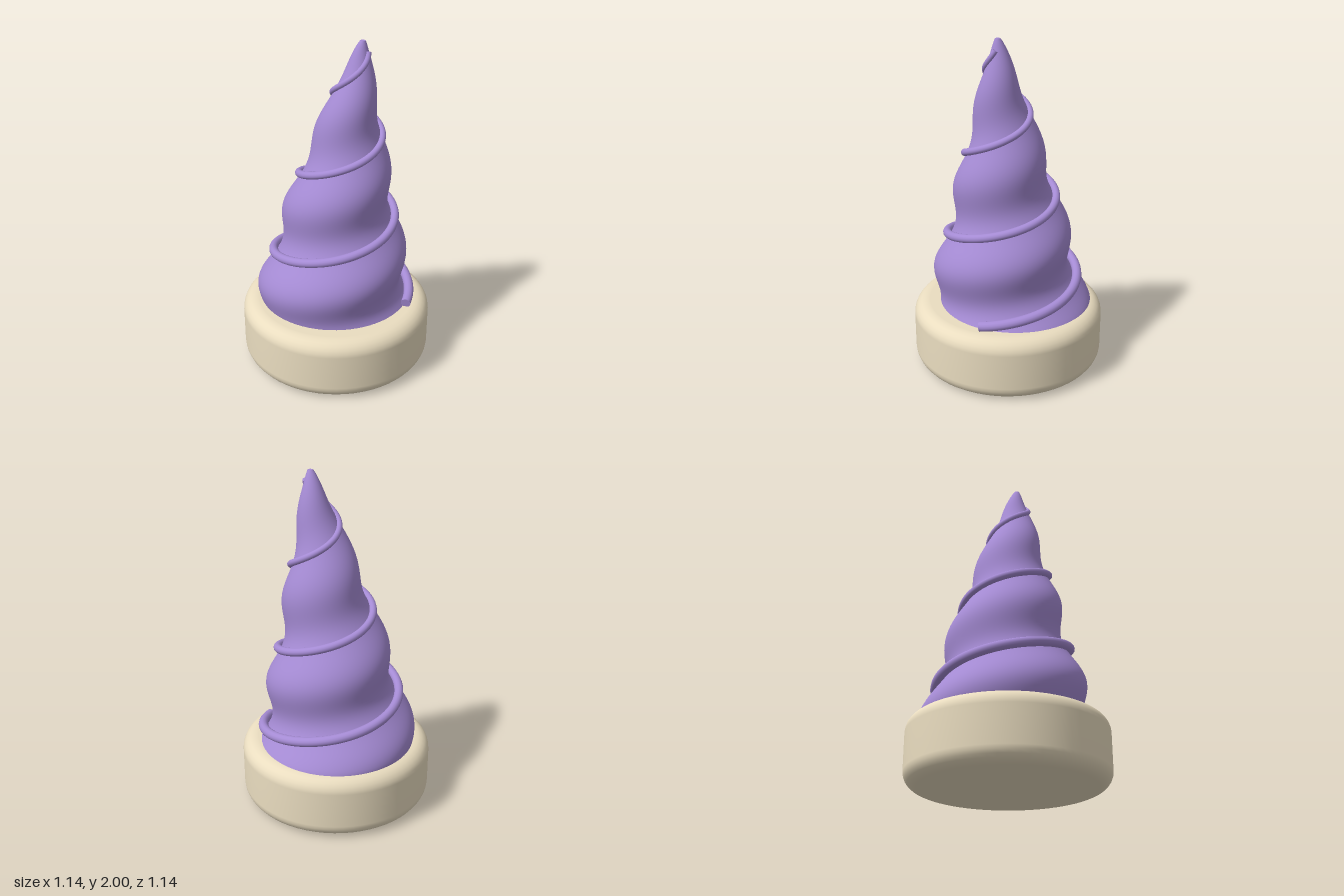
import * as THREE from 'three';

const BOTTOM = 0.36, TOP = 2;
const progress = (y) => THREE.MathUtils.clamp((y - 0.38) / (TOP - 0.38), 0, 1);
const coneRadius = (y) => 0.015 + 0.445 * Math.pow(1 - progress(y), 0.85);
const lean = (y) => 0.155 * Math.pow(progress(y), 1.75);

// Skins closed rings of points, with flat caps at both ends
function loft(rings) {
  const collapse = (ring) => {
    const c = ring.reduce((s, p) => s.add(p), new THREE.Vector3()).divideScalar(ring.length);
    return ring.map(() => c);
  };
  const first = rings[0], last = rings[rings.length - 1];
  const all = [collapse(first), first, ...rings, last, collapse(last)];
  const n = first.length, index = [];
  for (let i = 0; i < all.length - 1; i++) {
    if (i === 1 || i === all.length - 3) continue; // crease at each cap
    for (let j = 0; j < n; j++) {
      const k = (j + 1) % n;
      const a = i * n + j, b = i * n + k, c = a + n, d = b + n;
      index.push(a, c, b, b, c, d);
    }
  }
  const geometry = new THREE.BufferGeometry().setFromPoints(all.flat());
  geometry.setIndex(index);
  geometry.computeVertexNormals();
  return geometry;
}

// Leaning cone whose single bulge winds upward
function hornGeometry() {
  const rings = [], steps = 110, sides = 64;
  for (let i = 0; i <= steps; i++) {
    const y = BOTTOM + (TOP - BOTTOM) * i / steps;
    const bulge = Math.PI / 2 - 2 * Math.PI * (y - 0.6) / 0.525;
    const ring = [];
    for (let j = 0; j < sides; j++) {
      const a = 2 * Math.PI * j / sides;
      const r = coneRadius(y) * (1 + 0.1 * Math.cos(a - bulge));
      ring.push(new THREE.Vector3(lean(y) + r * Math.cos(a), y, r * Math.sin(a)));
    }
    rings.push(ring);
  }
  return loft(rings);
}

// Tapering cord that climbs three turns around the cone
function cordGeometry() {
  const points = [];
  for (let i = 0; i <= 120; i++) {
    const t = i / 120, y = 0.41 + 1.53 * t, a = -6 * Math.PI * t, r = coneRadius(y);
    points.push(new THREE.Vector3(lean(y) + r * Math.cos(a), y, r * Math.sin(a)));
  }
  const curve = new THREE.CatmullRomCurve3(points);
  const steps = 260, sides = 14;
  const frames = curve.computeFrenetFrames(steps);
  const rings = [];
  for (let i = 0; i <= steps; i++) {
    const p = curve.getPointAt(i / steps);
    const thickness = 0.03 - 0.015 * progress(p.y);
    const ring = [];
    for (let j = 0; j < sides; j++) {
      const a = 2 * Math.PI * j / sides;
      ring.push(p.clone()
        .addScaledVector(frames.normals[i], thickness * Math.cos(a))
        .addScaledVector(frames.binormals[i], -thickness * Math.sin(a)));
    }
    rings.push(ring);
  }
  return loft(rings);
}

// Round base with softened rims
function baseGeometry() {
  const R = 0.572, H = 0.385, bevel = 0.085, profile = [new THREE.Vector2(0, 0)];
  const corner = (cy, from) => {
    for (let i = 0; i <= 6; i++) {
      const a = from + Math.PI / 2 * i / 6;
      profile.push(new THREE.Vector2(R - bevel + bevel * Math.cos(a), cy + bevel * Math.sin(a)));
    }
  };
  profile.push(new THREE.Vector2(R - bevel - 0.01, 0));
  corner(bevel, -Math.PI / 2);
  corner(H - bevel, 0);
  profile.push(new THREE.Vector2(R - bevel - 0.01, H), new THREE.Vector2(0, H));
  return new THREE.LatheGeometry(profile, 64);
}

export function createModel() {
  const group = new THREE.Group();
  group.name = 'spiralHorn';
  const purple = new THREE.MeshStandardMaterial({ color: 0xa58bd4 });
  const cream = new THREE.MeshStandardMaterial({ color: 0xeaddc0 });
  const add = (name, geometry, material) => {
    const mesh = new THREE.Mesh(geometry, material);
    mesh.name = name;
    group.add(mesh);
  };
  add('base', baseGeometry(), cream);
  add('twistedHorn', hornGeometry(), purple);
  add('spiralCord', cordGeometry(), purple);
  return group;
}
